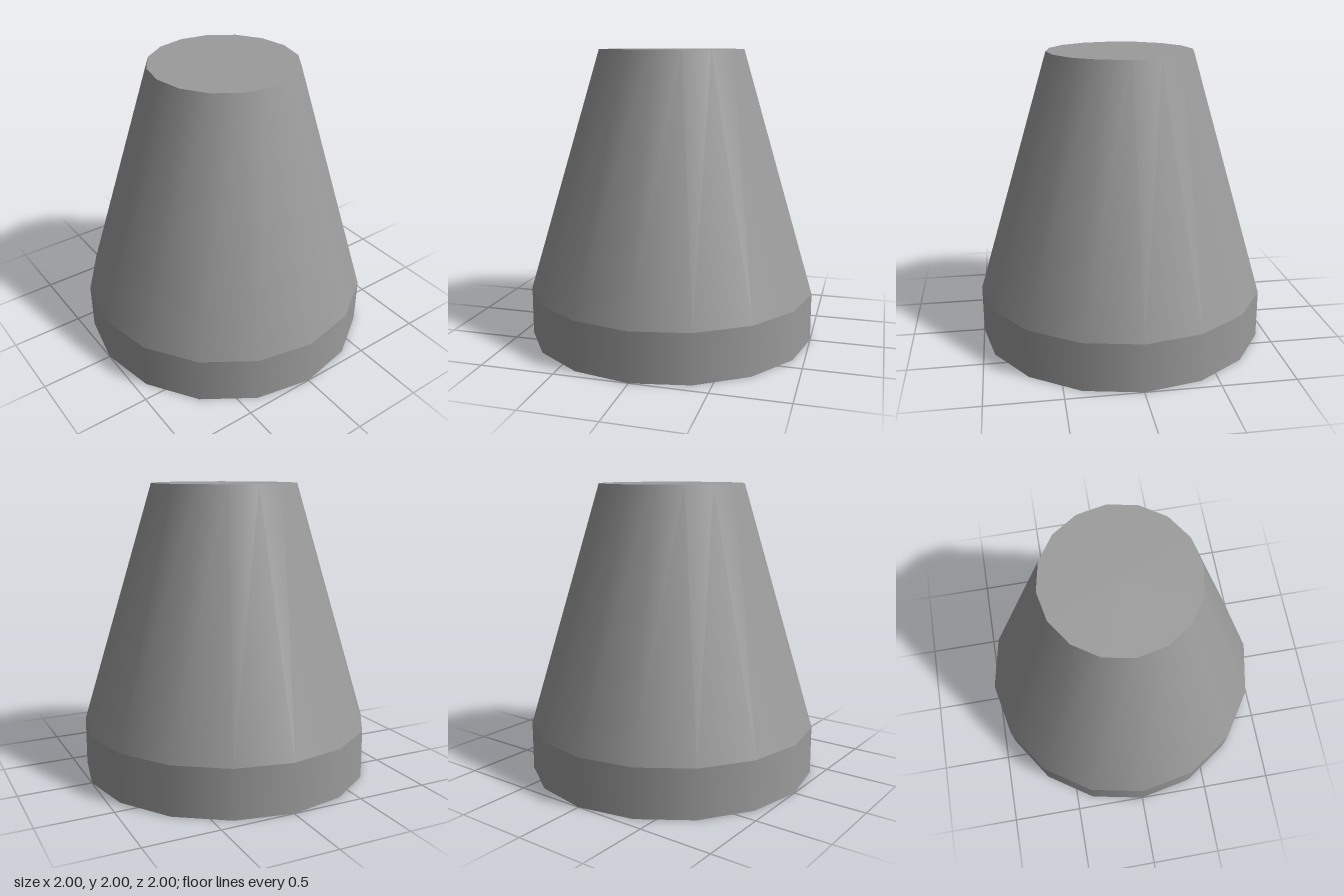
import * as THREE from 'three';

const SIDES = 16;
const RIM_HEIGHT = 0.335;
const HEIGHT = 2;

export function createModel() {
  const group = new THREE.Group();
  group.name = 'taperedCap';
  const material = new THREE.MeshStandardMaterial({ color: 0x9b9b9b });

  const add = (parent, name, geometry) => {
    const mesh = new THREE.Mesh(geometry, material);
    mesh.name = name;
    parent.add(mesh);
    return mesh;
  };

  // Solid tapered body; its lower cap is the ceiling of the recess
  const bodyHeight = HEIGHT - RIM_HEIGHT;
  add(group, 'taperedBody', new THREE.CylinderGeometry(0.5, 1, bodyHeight, SIDES))
    .position.y = RIM_HEIGHT + bodyHeight / 2;

  // Hollow base rim, one lathed band per wall so the edges stay sharp
  const rim = new THREE.Group();
  rim.name = 'baseRim';
  group.add(rim);
  const profile = [[0.7, RIM_HEIGHT], [0.7, 0], [1, 0], [1, RIM_HEIGHT]]
    .map(([r, y]) => new THREE.Vector2(r, y));
  ['rimInnerWall', 'rimUnderside', 'rimOuterWall'].forEach((name, i) => {
    const band = new THREE.LatheGeometry(profile.slice(i, i + 2), SIDES);
    band.normalizeNormals(); // even shading along each band
    add(rim, name, band);
  });

  return group;
}
